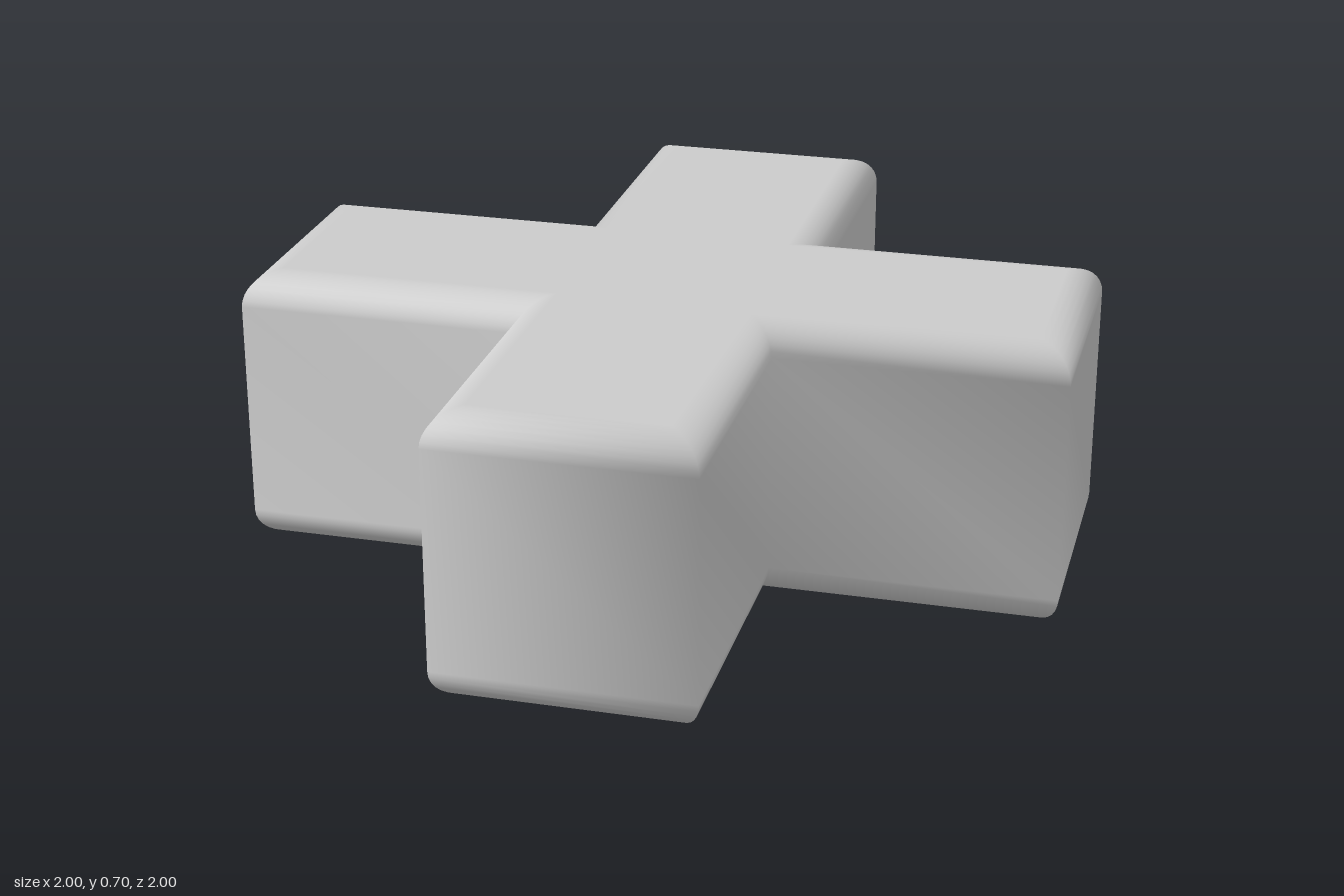
import * as THREE from 'three';
import { mergeVertices } from 'three/addons/utils/BufferGeometryUtils.js';

const REACH = 1;      // centre to arm end
const HALF = 0.31;    // half the arm width
const HEIGHT = 0.7;
const ROUND = 0.08;   // radius of the rounded top and bottom rims

// Plus-shaped outline: three corners per arm, turned four times
function crossOutline() {
  const points = [];
  for (let i = 0; i < 4; i++) {
    for (const [x, y] of [[HALF, -HALF], [REACH, -HALF], [REACH, HALF]]) {
      points.push(new THREE.Vector2(x, y).rotateAround(new THREE.Vector2(), i * Math.PI / 2));
    }
  }
  return new THREE.Shape(points);
}

export function createModel() {
  const group = new THREE.Group();
  group.name = 'cross';

  // Upright extrusion with quarter-round rims
  let geometry = new THREE.ExtrudeGeometry(crossOutline(), {
    depth: HEIGHT - 2 * ROUND,
    bevelEnabled: true,
    bevelSize: ROUND,
    bevelThickness: ROUND,
    bevelOffset: -ROUND,
    bevelSegments: 8,
  });
  geometry.rotateX(-Math.PI / 2);
  geometry.translate(0, ROUND, 0);

  // Weld the corners so the shading runs smoothly round them
  geometry.deleteAttribute('uv');
  geometry.deleteAttribute('normal');
  geometry = mergeVertices(geometry, 1e-4);
  geometry.computeVertexNormals();

  const body = new THREE.Mesh(geometry, new THREE.MeshStandardMaterial({ color: 0xcccccc }));
  body.name = 'crossBody';
  group.add(body);
  return group;
}
